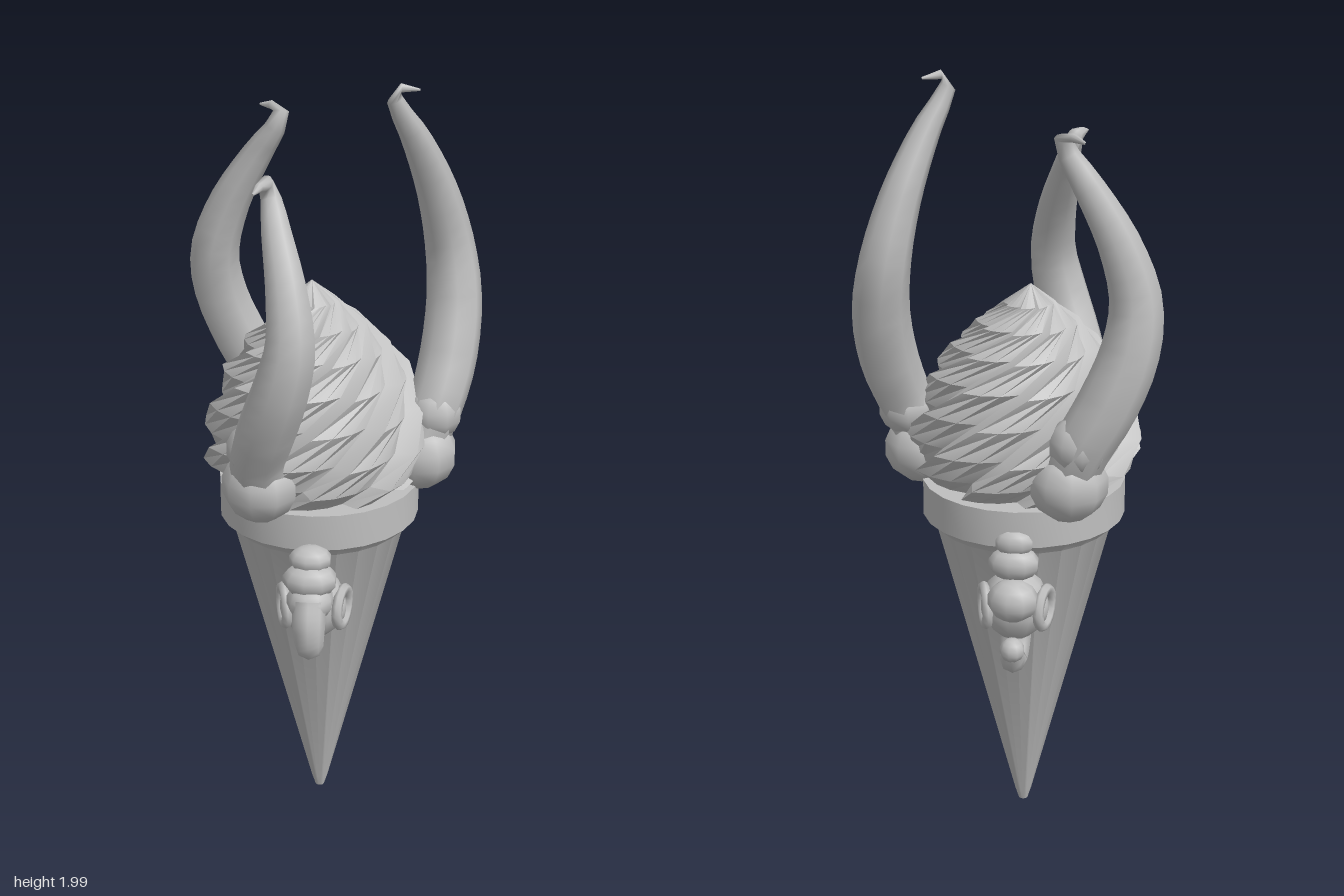
import * as THREE from 'three';
import { toCreasedNormals } from 'three/addons/utils/BufferGeometryUtils.js';

const grey = new THREE.MeshStandardMaterial({ color: 0xbfbfbf });
grey.name = 'plain grey';
const V = (x, y, z) => new THREE.Vector3(x, y, z);

function add(parent, name, geometry, x = 0, y = 0, z = 0) {
  const mesh = new THREE.Mesh(geometry, grey);
  mesh.name = name;
  mesh.position.set(x, y, z);
  parent.add(mesh);
  return mesh;
}

function blob(parent, name, x, y, z, rx, ry = rx, rz = rx) {
  const mesh = add(parent, name, new THREE.SphereGeometry(1, 9, 7), x, y, z);
  mesh.scale.set(rx, ry, rz);
  return mesh;
}

// Tube whose radius follows a list of values spaced evenly along the path
function taperedTube(points, radii, segments, sides) {
  const curve = new THREE.CatmullRomCurve3(points);
  const geo = new THREE.TubeGeometry(curve, segments, 1, sides);
  const pos = geo.attributes.position, p = V();
  for (let i = 0; i <= segments; i++) {
    const c = curve.getPointAt(i / segments);
    const f = (i / segments) * (radii.length - 1), n = Math.min(Math.floor(f), radii.length - 2);
    const r = THREE.MathUtils.lerp(radii[n], radii[n + 1], f - n);
    for (let j = 0; j <= sides; j++) {
      const k = i * (sides + 1) + j;
      p.fromBufferAttribute(pos, k).sub(c).multiplyScalar(r).add(c);
      pos.setXYZ(k, p.x, p.y, p.z);
    }
  }
  return geo;
}

// Whipped swirl: saw-toothed rings, each turned a little further than the last
function swirlGeometry() {
  const rings = [[0.12, 0.95], [0.225, 0.965], [0.275, 1.02], [0.28, 1.09], [0.255, 1.17],
    [0.225, 1.25], [0.175, 1.32], [0.12, 1.38], [0.06, 1.43], [0.001, 1.48]];
  const arms = 9, steps = [[0, 0], [0.14, 1], [0.42, 0.8], [0.72, 0.45]];
  const cols = arms * steps.length, pos = [], index = [];
  rings.forEach(([r, y], i) => {
    const t = i / (rings.length - 1);
    for (let k = 0; k < cols; k++) {
      const [u, saw] = steps[k % steps.length];
      const a = -((Math.floor(k / steps.length) + u) / arms) * Math.PI * 2 - i * (0.15 + 0.3 * t);
      const rad = r * (0.91 + 0.18 * saw);
      pos.push(Math.cos(a) * rad - 0.02 * t * t, y, Math.sin(a) * rad - 0.04 * t * t);
      if (i < rings.length - 1) {
        const p = i * cols + k, q = i * cols + ((k + 1) % cols);
        index.push(p, q, q + cols, p, q + cols, p + cols);
      }
    }
  });
  const geo = new THREE.BufferGeometry();
  geo.setAttribute('position', new THREE.Float32BufferAttribute(pos, 3));
  geo.setIndex(index);
  return toCreasedNormals(geo, 0.6);
}

// Curved horn with a hooked tip, rising from a round knob
function makeHorn(name, turn, height, lean) {
  const horn = new THREE.Group();
  horn.name = name;
  horn.rotation.y = turn;
  const path = [[0.26, 1.06, 0], [0.30, 1.16, -0.02], [0.33, 1.28, -0.07], [0.34, 1.42, -0.12],
    [0.325, 1.55, -0.14], [0.29, 1.7, -0.11], [0.235, 1.85, -0.05], [0.19, 1.94, -0.01],
    [0.18, 1.98, 0], [0.245, 1.975, -0.02]];
  const points = path.map(([x, y, z], i) =>
    V(x + lean * (i / 9) ** 3, 0.94 + (y - 0.94) * height, z));
  const radii = [0.07, 0.072, 0.075, 0.074, 0.07, 0.063, 0.055, 0.046, 0.036, 0.022, 0.003];
  add(horn, 'hornShaft', taperedTube(points, radii, 22, 8));
  blob(horn, 'hornKnob', 0.265, 1.03, 0, 0.095, 0.095, 0.1);
  blob(horn, 'hornCollar', 0.295, 1.14, -0.015, 0.075, 0.075, 0.08);
  return horn;
}

// Small creature clinging to the cone: +z points away from the cone
function makeCreature(name, turn, lumps, curl) {
  const body = new THREE.Group();
  body.name = name;
  body.rotation.y = turn;
  blob(body, 'creatureBody', 0, 0.7, 0.225, 0.085, 0.095, 0.075);
  blob(body, 'creatureBack', 0, 0.67, 0.18, 0.1, 0.05, 0.05);
  for (const [y, z, rx, ry, rz] of lumps) blob(body, 'creatureLump', 0, y, z, rx, ry, rz);
  const points = curl.map(([y, z]) => V(0, y, z));
  add(body, 'creatureTrunk', taperedTube(points, [0.042, 0.042, 0.038, 0.034, 0.026], 14, 8));
  const end = points[points.length - 1];
  blob(body, 'trunkTip', 0, end.y, end.z, 0.032);
  for (const s of [-1, 1]) {
    const ring = add(body, 'eyeRing', new THREE.TorusGeometry(0.048, 0.014, 6, 14), s * 0.075, 0.695, 0.235);
    ring.rotation.y = s * Math.PI / 2 - s * 0.25;
    blob(body, 'eyeBall', s * 0.064, 0.695, 0.235, 0.022, 0.042, 0.042);
  }
  return body;
}

export function createModel() {
  const model = new THREE.Group();
  model.name = 'hornedCone';
  const core = new THREE.Group();
  core.name = 'coneAssembly';
  core.position.set(-0.04, 0, -0.048);
  model.add(core);

  // Cone with a raised rim and a flat top
  const profile = [[0, 0], [0.012, 0.008], [0.022, 0.04], [0.227, 0.835], [0.26, 0.865], [0.26, 0.96], [0, 0.96]];
  const cone = new THREE.LatheGeometry(profile.map(([r, y]) => new THREE.Vector2(r, y)), 24);
  add(core, 'cone', toCreasedNormals(cone, 0.6));

  add(core, 'swirl', swirlGeometry());

  // Three horns spaced evenly round the swirl
  const third = Math.PI * 2 / 3;
  core.add(makeHorn('leftHorn', 0, 1, 0));
  core.add(makeHorn('backHorn', third, 0.905, 0.05));
  core.add(makeHorn('frontHorn', -third, 0.825, 0.06));

  // Creatures on the front and back of the cone
  core.add(makeCreature('frontCreature', 0,
    [[0.875, 0.325, 0.055, 0.035, 0.045], [0.825, 0.34, 0.07, 0.045, 0.055], [0.77, 0.345, 0.06, 0.05, 0.07]],
    [[0.78, 0.37], [0.72, 0.395], [0.665, 0.385], [0.645, 0.345], [0.655, 0.31]]));
  core.add(makeCreature('backCreature', Math.PI,
    [[0.875, 0.25, 0.05, 0.035, 0.03], [0.82, 0.25, 0.065, 0.045, 0.045], [0.735, 0.285, 0.065, 0.055, 0.055]],
    [[0.68, 0.25], [0.62, 0.215], [0.575, 0.235], [0.565, 0.275], [0.605, 0.3]]));
  return model;
}
